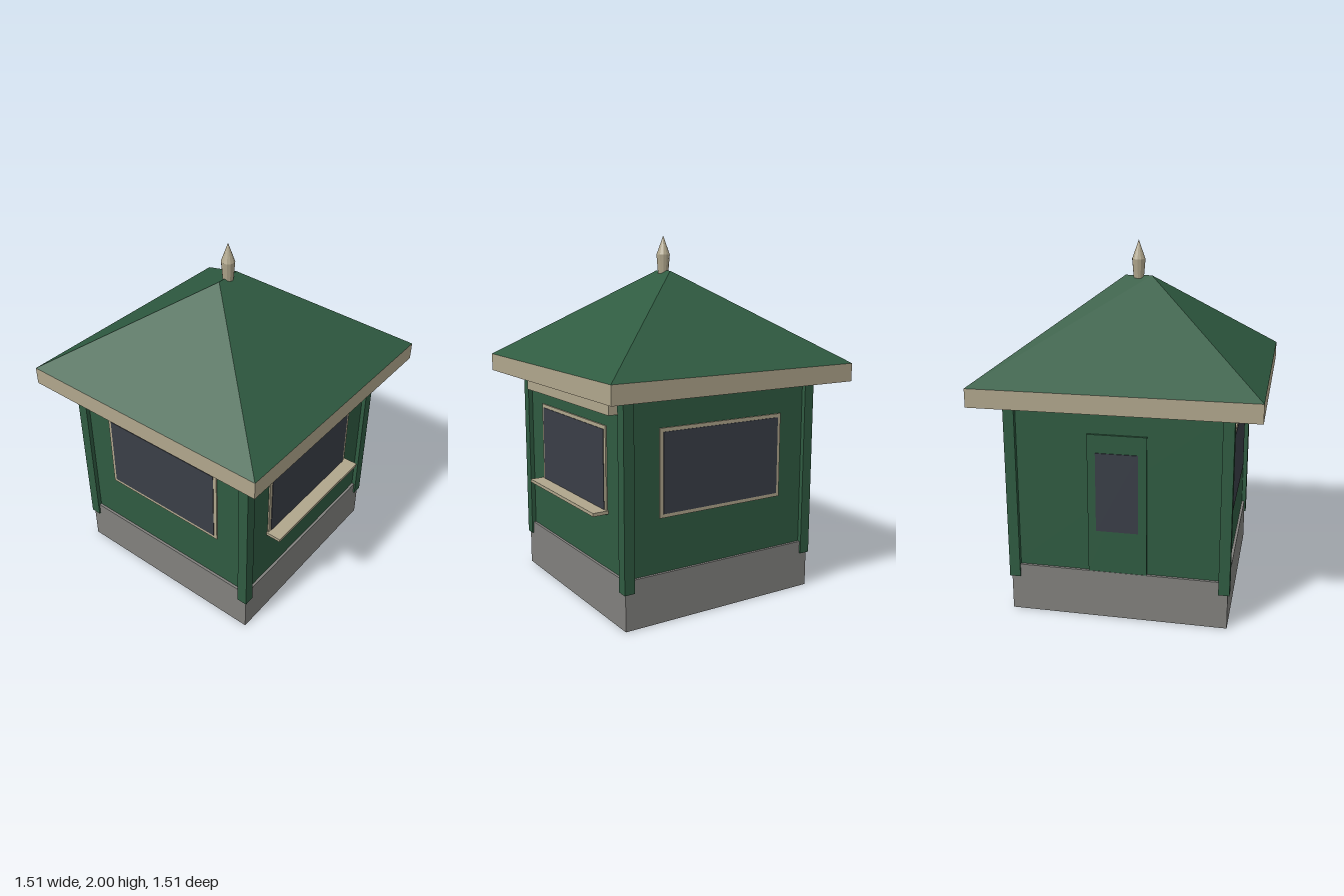
import * as THREE from 'three';

const makeMaterial = (name, color) => {
  const m = new THREE.MeshStandardMaterial({ color });
  m.name = name;
  return m;
};

export function createModel() {
  const green = makeMaterial('green paint', 0x2f5b41);
  const cream = makeMaterial('cream trim', 0xb0a68c);
  const stone = makeMaterial('grey stone', 0x81807d);
  const glass = makeMaterial('dark glass', 0x3a3e47);

  const kiosk = new THREE.Group();
  kiosk.name = 'kiosk';

  const add = (parent, name, geometry, material) => {
    const mesh = new THREE.Mesh(geometry, material);
    mesh.name = name;
    parent.add(mesh);
    return mesh;
  };
  // Box given by its lower and upper corners
  const box = (parent, name, material, [x0, y0, z0], [x1, y1, z1]) => {
    const g = new THREE.BoxGeometry(x1 - x0, y1 - y0, z1 - z0);
    g.translate((x0 + x1) / 2, (y0 + y1) / 2, (z0 + z1) / 2);
    return add(parent, name, g, material);
  };
  // Group whose +z side is turned towards one side of the kiosk
  const side = (name, angle) => {
    const g = new THREE.Group();
    g.name = name;
    g.rotation.y = angle;
    kiosk.add(g);
    return g;
  };

  // Plinth and body
  const wall = 0.585;
  box(kiosk, 'plinth', stone, [-0.6, 0, -0.6], [0.6, 0.27, 0.6]);
  box(kiosk, 'walls', green, [-wall, 0.27, -wall], [wall, 1.21, wall]);

  // Corner posts
  for (const x of [-0.58, 0.58])
    for (const z of [-0.58, 0.58])
      box(kiosk, 'cornerPost', green, [x - 0.03, 0.2, z - 0.03], [x + 0.03, 1.21, z + 0.03]);

  // Framed windows on front, back and serving side
  const front = side('frontSide', 0);
  const back = side('backSide', Math.PI);
  const serving = side('servingSide', Math.PI / 2);
  for (const s of [front, back, serving]) {
    box(s, 'windowFrame', cream, [-0.39, 0.565, wall - 0.01], [0.39, 1.035, wall + 0.008]);
    box(s, 'windowPane', glass, [-0.37, 0.585, wall], [0.37, 1.015, wall + 0.011]);
  }

  // Counter shelf and blank sign board
  box(serving, 'counter', cream, [-0.4, 0.57, wall - 0.01], [0.4, 0.588, 0.675]);
  box(serving, 'signBoard', cream, [-0.505, 1.11, wall - 0.01], [0.505, 1.207, 0.635]);

  // Door with its window
  const doorSide = side('doorSide', -Math.PI / 2);
  box(doorSide, 'door', green, [-0.16, 0.27, wall - 0.01], [0.16, 1.05, wall + 0.013]);
  box(doorSide, 'doorPane', glass, [-0.115, 0.51, wall], [0.115, 0.95, wall + 0.018]);

  // Eaves
  const e = 0.755;
  box(kiosk, 'eaves', cream, [-e, 1.205, -e], [e, 1.305, e]);

  // Hipped roof with a short ridge along z
  const y = 1.305;
  const A = [-e, y, e], B = [e, y, e], C = [e, y, -e], D = [-e, y, -e];
  const F = [0, 1.805, 0.075], K = [0, 1.805, -0.075];
  const faces = [A, B, F, C, D, K, B, C, K, B, K, F, D, A, F, D, F, K];
  const roof = new THREE.BufferGeometry();
  roof.setAttribute('position', new THREE.Float32BufferAttribute(faces.flat(), 3));
  roof.computeVertexNormals();
  add(kiosk, 'roof', roof, green);

  // Faceted finial
  const profile = [[0, 1.79], [0.029, 1.79], [0.038, 1.895], [0, 2]];
  const finial = new THREE.LatheGeometry(profile.map(p => new THREE.Vector2(...p)), 12).toNonIndexed();
  finial.computeVertexNormals();
  add(kiosk, 'finial', finial, cream);

  return kiosk;
}
